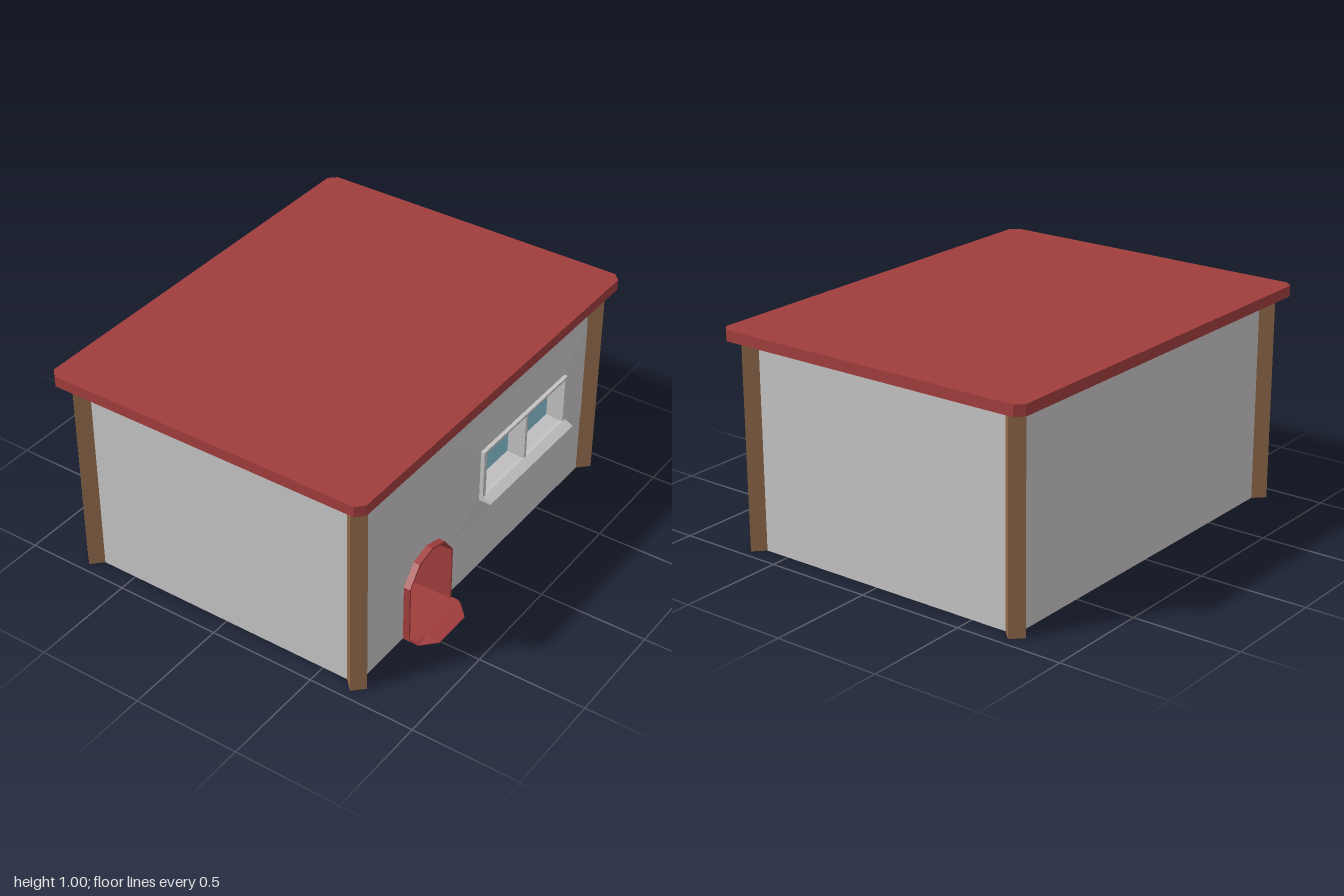
import * as THREE from 'three';

const mat = (name, color, side = THREE.FrontSide) => {
  const m = new THREE.MeshStandardMaterial({ color, side });
  m.name = name;
  return m;
};

// Flat-faced skin between matching loops of [x, y, z]; the last loop may be capped.
function loft(rings, cap = false) {
  const pos = [];
  const tri = (a, b, c) => pos.push(...a, ...b, ...c);
  for (let r = 0; r + 1 < rings.length; r++) {
    const A = rings[r], B = rings[r + 1], n = A.length;
    for (let i = 0; i < n; i++) {
      const j = (i + 1) % n;
      tri(A[i], A[j], B[j]);
      tri(A[i], B[j], B[i]);
    }
  }
  const last = rings[rings.length - 1];
  if (cap) for (let i = 1; i + 1 < last.length; i++) tri(last[0], last[i], last[i + 1]);
  const g = new THREE.BufferGeometry();
  g.setAttribute('position', new THREE.Float32BufferAttribute(pos, 3));
  g.computeVertexNormals();
  return g;
}

const rect = (x0, x1, y0, y1, z) => [[x0, y0, z], [x1, y0, z], [x1, y1, z], [x0, y1, z]];
const outline = (pts) => new THREE.Shape(pts.map(([x, y]) => new THREE.Vector2(x, y)));

// Faceted arch of the doorway, anticlockwise from the lower left
const arch = (inset, bottom, z) => {
  const c = -0.4125, h = 0.1625 - inset;
  return [[c - h, bottom, z], [c + h, bottom, z], [c + h, 0.28, z], [c + h * 0.58, 0.368 - inset, z],
    [c, 0.393 - inset, z], [c - h * 0.58, 0.368 - inset, z], [c - h, 0.28, z]];
};

export function createModel() {
  const group = new THREE.Group();
  const grey = mat('wallGrey', 0xc4c2c2, THREE.DoubleSide);
  const red = mat('roofRed', 0xa03c3c);
  const brown = mat('postBrown', 0x8f6a49);
  const blue = mat('glassBlue', 0x86c0d3);

  const add = (name, geometry, material, x = 0, y = 0, z = 0) => {
    const m = new THREE.Mesh(geometry, material);
    m.name = name;
    m.position.set(x, y, z);
    group.add(m);
    return m;
  };

  const W = 0.91, F = 0.67, B = -0.72, H = 0.95;
  const midZ = (F + B) / 2, depth = F - B;

  // Roof slab with clipped corners
  const c = 0.035, r0 = -0.75, r1 = 0.81;
  const roofShape = outline([[-1 + c, r0], [1 - c, r0], [1, r0 + c], [1, r1 - c],
    [1 - c, r1], [-1 + c, r1], [-1, r1 - c], [-1, r0 + c]]);
  const roof = new THREE.ExtrudeGeometry(roofShape, { depth: 0.05, bevelEnabled: false });
  roof.rotateX(-Math.PI / 2);
  add('roof', roof, red, 0, H, 0);

  // Square corner posts turned by 45 degrees
  for (const x of [-W, W]) for (const z of [F, B]) {
    add('cornerPost', new THREE.CylinderGeometry(0.05, 0.05, H, 4).toNonIndexed(),
      [brown, brown, grey], x, H / 2, z).geometry.computeVertexNormals();
  }

  // Side walls, back wall and floor
  for (const s of [-1, 1]) {
    add('sideWall', new THREE.BoxGeometry(0.02, H, depth), grey, s * (W - 0.01), H / 2, midZ);
  }
  add('backWall', new THREE.BoxGeometry(2 * W, H, 0.02), grey, 0, H / 2, B + 0.01);
  add('floor', new THREE.BoxGeometry(2 * W, 0.008, depth), grey, 0, 0.004, midZ);

  // Front wall with the doorway notch and an opening for the window surround
  const door = arch(0, 0, F);
  const front = outline([[-W, 0], door[0], ...door.slice(2).reverse(), door[1], [W, 0], [W, H], [-W, H]]);
  const surround = rect(-0.23, 0.88, 0.28, 0.8, F);
  front.holes.push(outline(surround));
  add('frontWall', new THREE.ShapeGeometry(front), grey, 0, 0, F);

  // Wall swells gently towards the window
  add('windowSurround', loft([surround, rect(-0.038, 0.645, 0.4, 0.655, 0.69)]), grey);

  // Window frame with two splayed openings
  const frame = outline(rect(-0.038, 0.645, 0.4, 0.655, 0));
  [[-0.016, 0.296], [0.312, 0.624]].forEach(([x0, x1]) => {
    const mouth = rect(x0, x1, 0.418, 0.643, 0.708);
    const inner = rect(x0 + 0.013, x1 - 0.01, 0.436, 0.63, 0.63);
    frame.holes.push(outline(mouth));
    add('windowReveal', loft([mouth, inner]), grey);
    add('windowPane', loft([inner], true), blue);
  });
  add('windowFrame', new THREE.ExtrudeGeometry(frame, { depth: 0.023, bevelEnabled: false }),
    grey, 0, 0, 0.685);

  // Wedge-shaped sill below the panes
  const sill = new THREE.ExtrudeGeometry(
    outline([[0.69, 0.398], [0.75, 0.398], [0.75, 0.403], [0.708, 0.422], [0.69, 0.422]]),
    { depth: 0.683, bevelEnabled: false });
  sill.rotateY(-Math.PI / 2);
  add('windowSill', sill, grey, 0.645, 0, 0);

  // Arched doorway: raised rim, tunnel and back
  add('doorway', loft([arch(0, 0, F), arch(0, 0, 0.70), arch(0.009, 0.014, 0.70),
    arch(0.014, 0.014, 0.39)], true), red);

  // Doorstep with a sloping front edge
  const step = (y, z1, z2) => [[-0.575, y, F], [-0.575, y, z1], [-0.51, y, z2],
    [-0.315, y, z2], [-0.25, y, z1], [-0.25, y, F]];
  const foot = step(0, 0.75, 0.81);
  add('doorstep', loft([foot, step(0.004, 0.75, 0.81), step(0.015, 0.735, 0.75)], true), red);
  add('doorstepUnderside', loft([foot.slice().reverse()], true), grey);

  return group;
}
